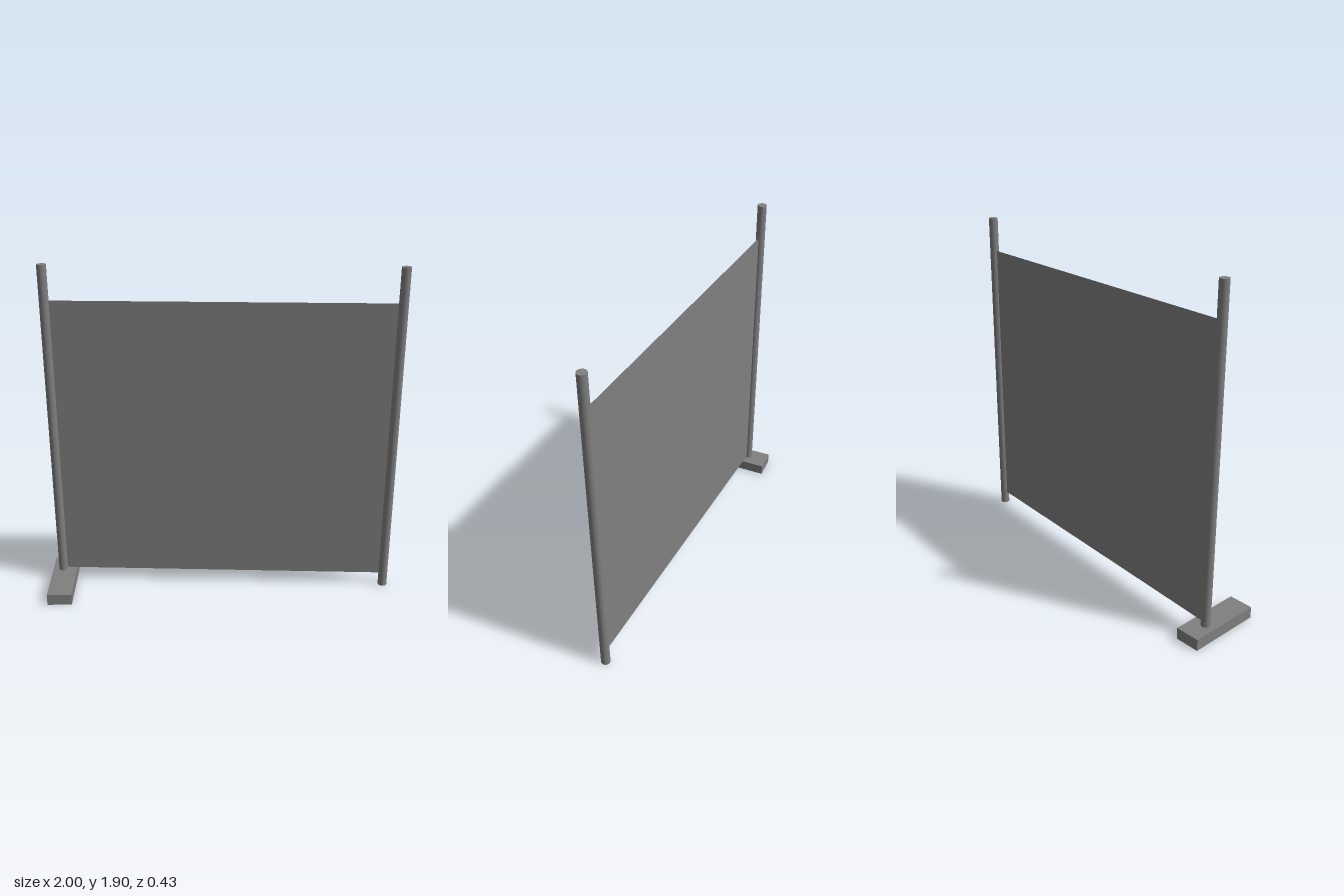
import * as THREE from 'three';

export function createModel() {
  const group = new THREE.Group();
  const grey = new THREE.MeshStandardMaterial({ color: 0x808080, side: THREE.DoubleSide });
  grey.name = 'grey';

  const add = (name, geometry, x, y, z) => {
    const mesh = new THREE.Mesh(geometry, grey);
    mesh.name = name;
    mesh.position.set(x, y, z);
    group.add(mesh);
    return mesh;
  };

  const top = 1.905, radius = 0.026;
  const right = new THREE.Vector2(-0.94, -0.085); // post centres as x, z
  const left = new THREE.Vector2(0.972, 0.048);

  // Posts: one stands in the foot, the other on the ground
  const addPost = (name, p, bottom) => add(name,
    new THREE.CylinderGeometry(radius, radius, top - bottom, 32), p.x, (top + bottom) / 2, p.y);
  addPost('rightPost', right, 0.03);
  addPost('leftPost', left, 0);

  // Foot block under the right post
  add('foot', new THREE.BoxGeometry(0.14, 0.065, 0.43), -0.93, 0.0325, 0);

  // Thin screen stretched between the post centres
  const low = 0.075, high = 1.71;
  const span = left.clone().sub(right);
  const screen = add('screen', new THREE.PlaneGeometry(span.length(), high - low),
    (left.x + right.x) / 2, (low + high) / 2, (left.y + right.y) / 2);
  screen.rotation.y = -Math.atan2(span.y, span.x);

  return group;
}
